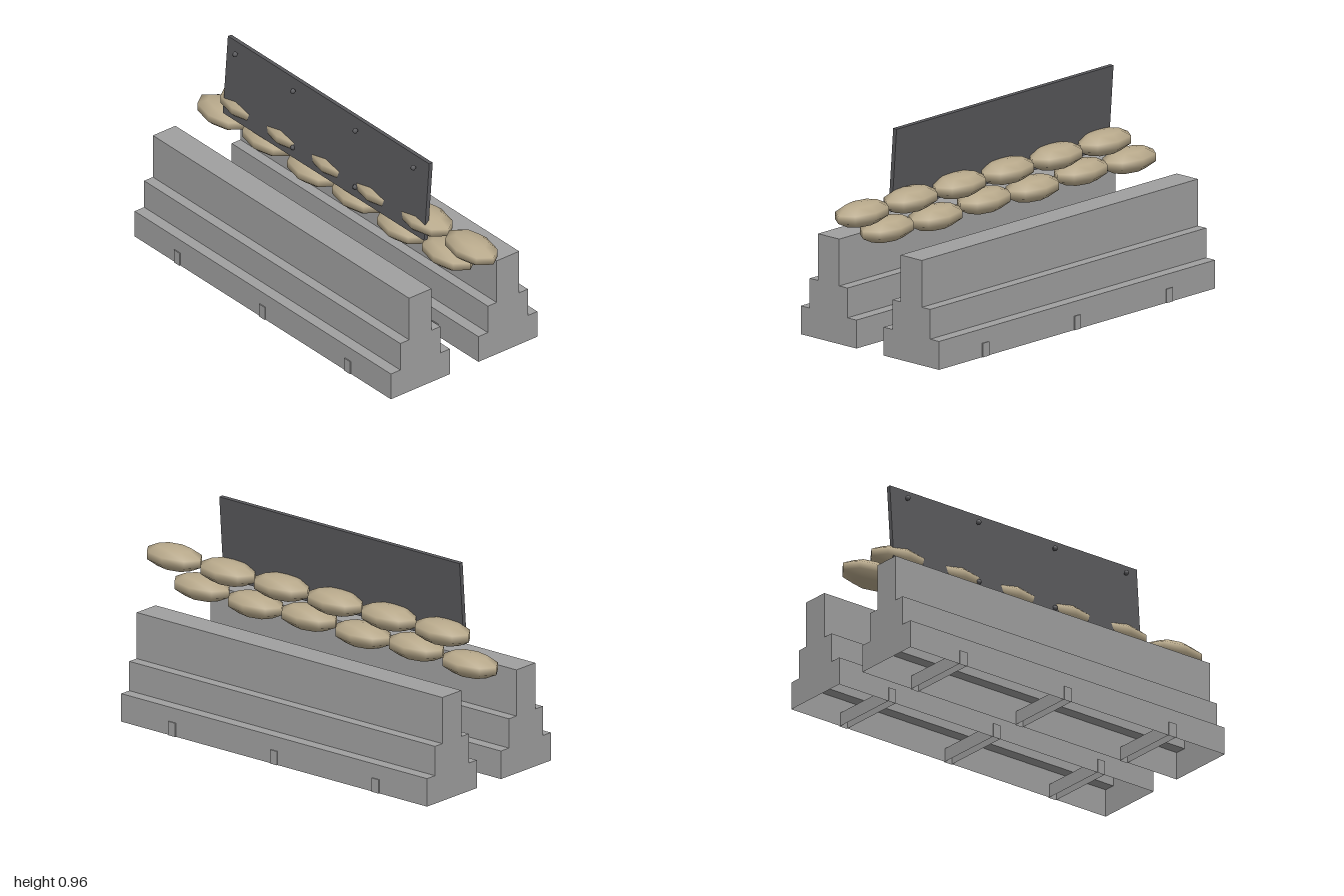
import * as THREE from 'three';

// Remove the faces lying on y = 0, leaving a shell open underneath
function openBottom(geometry) {
  const g = geometry.index ? geometry.toNonIndexed() : geometry;
  const p = g.attributes.position;
  const kept = [];
  for (let i = 0; i < p.count; i += 3) {
    const onFloor = [0, 1, 2].every((k) => Math.abs(p.getY(i + k)) < 1e-5);
    if (onFloor) continue;
    for (let k = 0; k < 3; k++) kept.push(p.getX(i + k), p.getY(i + k), p.getZ(i + k));
  }
  const out = new THREE.BufferGeometry();
  out.setAttribute('position', new THREE.Float32BufferAttribute(kept, 3));
  out.computeVertexNormals();
  return out;
}

export function createModel() {
  const concrete = new THREE.MeshStandardMaterial({ color: 0xa0a0a0, side: THREE.DoubleSide });
  concrete.name = 'concrete';
  const metal = new THREE.MeshStandardMaterial({ color: 0x59595c });
  metal.name = 'darkMetal';
  const burlap = new THREE.MeshStandardMaterial({ color: 0xb9aa8c });
  burlap.name = 'burlap';

  const model = new THREE.Group();
  model.name = 'barricade';
  const add = (parent, name, geometry, material, x, y, z) => {
    const mesh = new THREE.Mesh(geometry, material);
    mesh.name = name;
    mesh.position.set(x, y, z);
    parent.add(mesh);
    return mesh;
  };

  // Stepped barrier shell, hollow and open at the bottom
  const half = [[0.165, 0], [0.165, 0.128], [0.112, 0.128], [0.112, 0.262], [0.063, 0.262], [0.063, 0.473]];
  const outline = [...half, ...half.map(([z, y]) => [-z, y]).reverse()];
  const shape = new THREE.Shape(outline.map(([z, y]) => new THREE.Vector2(z, y)));
  const length = 1.75;
  const shell = openBottom(
    new THREE.ExtrudeGeometry(shape, { depth: length, bevelEnabled: false })
      .translate(0, 0, -length / 2)
      .rotateY(Math.PI / 2)
  );
  const channel = openBottom(new THREE.BoxGeometry(0.04, 0.063, 0.34).translate(0, 0.0315, 0));

  for (const [side, name] of [[1, 'frontBarrier'], [-1, 'backBarrier']]) {
    const barrier = new THREE.Group();
    barrier.name = name;
    barrier.position.set(-0.08, 0, side * 0.245);
    add(barrier, 'barrierShell', shell, concrete, 0, 0, 0);
    // Cross channels under the base
    for (const x of [-0.582, 0, 0.582]) add(barrier, 'crossChannel', channel, concrete, x, 0, 0);
    model.add(barrier);
  }

  // Two staggered rows of sandbags
  const bag = new THREE.SphereGeometry(1, 8, 5).scale(0.158, 0.055, 0.089);
  const bags = new THREE.Group();
  bags.name = 'sandbags';
  for (let i = 0; i < 6; i++) {
    add(bags, 'lowerSandbag', bag, burlap, -0.848 + i * 0.307, i % 2 ? 0.534 : 0.523, 0);
    add(bags, 'upperSandbag', bag, burlap, -0.69 + i * 0.307, 0.636, 0);
  }
  model.add(bags);

  // Plate leaning back against the upper bags
  const plate = add(model, 'shieldPlate', new THREE.BoxGeometry(1.375, 0.38, 0.02), metal, -0.0825, 0.771, 0.044);
  plate.rotation.x = -0.075;

  // Bolt heads along the plate's top and bottom
  const bolt = new THREE.SphereGeometry(0.0125, 6, 5);
  for (const y of [0.915, 0.63]) {
    for (const x of [-0.69, -0.295, 0.13, 0.527]) add(model, 'bolt', bolt, metal, x, y, 0.065);
  }
  return model;
}
